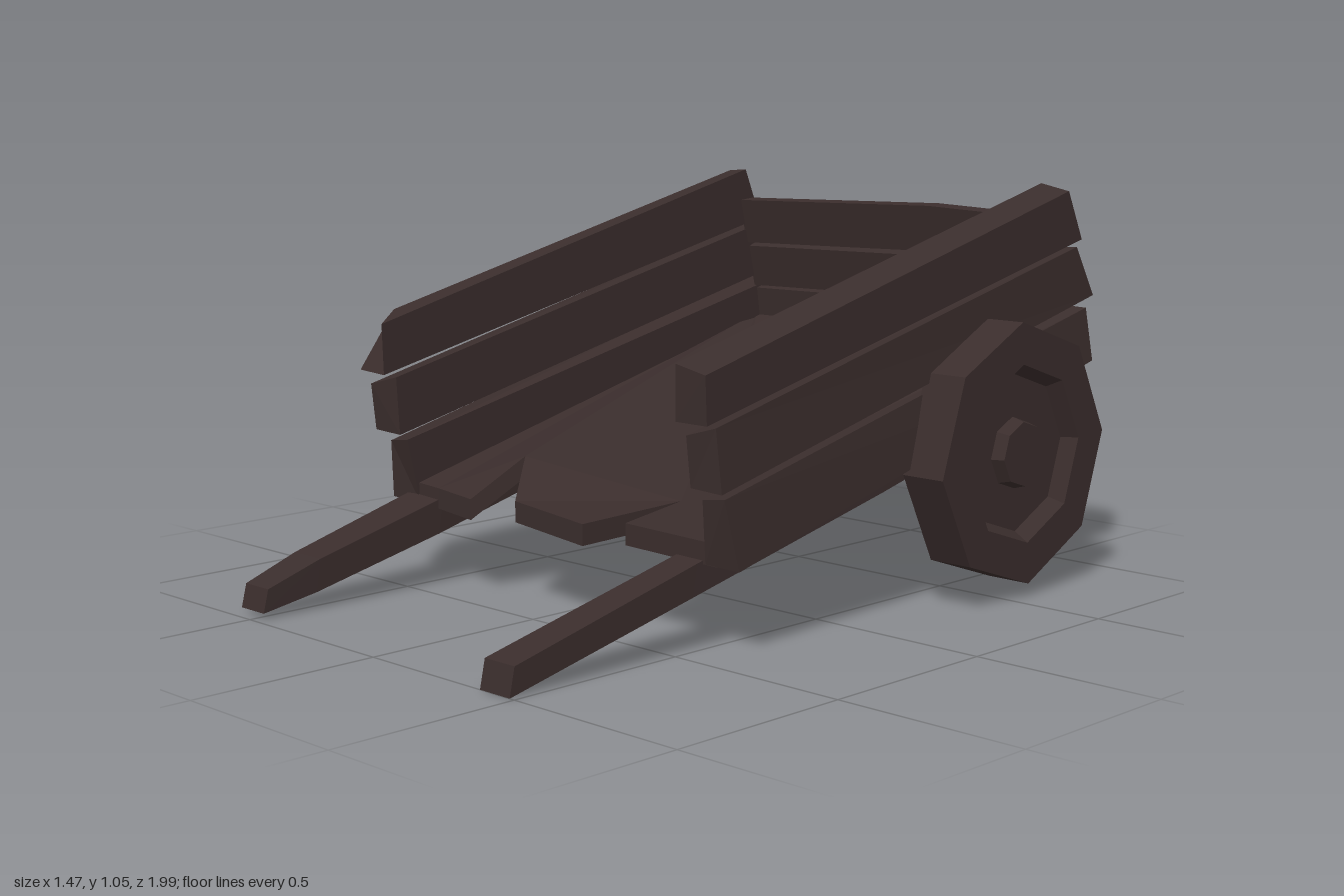
import * as THREE from 'three';

const wood = new THREE.MeshStandardMaterial({ color: 0x3a2d2c, flatShading: true });

// Solid through matching rings of [x, y, z] corners, closed at both ends.
function loft(name, rings) {
  const n = rings[0].length, tris = [];
  for (let r = 0; r < rings.length - 1; r++) {
    for (let i = 0; i < n; i++) {
      const j = (i + 1) % n, a = rings[r], b = rings[r + 1];
      tris.push([a[i], a[j], b[j]], [a[i], b[j], b[i]]);
    }
  }
  const first = rings[0], last = rings[rings.length - 1];
  for (let i = 1; i < n - 1; i++) {
    tris.push([first[0], first[i + 1], first[i]], [last[0], last[i], last[i + 1]]);
  }
  // Turn the faces outward whichever way the rings run
  let volume = 0;
  for (const [a, b, c] of tris) {
    volume += new THREE.Vector3(...a).dot(new THREE.Vector3(...b).cross(new THREE.Vector3(...c)));
  }
  if (volume < 0) tris.forEach((t) => t.reverse());
  const geo = new THREE.BufferGeometry();
  geo.setAttribute('position', new THREE.Float32BufferAttribute(tris.flat(2), 3));
  geo.computeVertexNormals();
  const mesh = new THREE.Mesh(geo, wood);
  mesh.name = name;
  return mesh;
}

// Side outline of [z, y] pairs placed at one x, or at one x per corner
const ring = (x, outline) => outline.map(([z, y], i) => [Array.isArray(x) ? x[i] : x, y, z]);

// Height of the tilted bed at z
const bedY = (z) => 0.265 + 0.256 * (0.42 - z);

// Floor with a splintered front edge; the notch corners are bent up or down
function makeFloor() {
  const edge = [
    [-0.57, 0.42], [-0.45, 0.43], [-0.295, 0.45], [-0.21, 0.335], [-0.16, 0.415],
    [0.135, 0.455], [0.175, 0.15], [0.24, 0.41], [0.56, 0.42], [0.56, -0.94], [-0.57, -0.94],
  ];
  const shape = new THREE.Shape(edge.map(([x, z]) => new THREE.Vector2(x, z)));
  const geo = new THREE.ExtrudeGeometry(shape, { depth: 0.055, bevelEnabled: false });
  geo.rotateX(Math.PI / 2);
  const p = geo.attributes.position;
  for (let i = 0; i < p.count; i++) {
    const x = p.getX(i), z = p.getZ(i);
    let bend = 0;
    if (Math.abs(x + 0.21) < 0.01) bend = 0.08;
    if (Math.abs(x - 0.175) < 0.01) bend = -0.058;
    p.setY(i, p.getY(i) + bedY(z) + bend);
  }
  geo.computeVertexNormals();
  const mesh = new THREE.Mesh(geo, wood);
  mesh.name = 'floor';
  return mesh;
}

// Eight-sided wheel with a recessed face and a raised hub
function makeWheel(name, side, turn) {
  const profile = [
    [0, 0], [0.345, 0], [0.345, 0.125], [0.235, 0.125], [0.21, 0.085],
    [0.095, 0.085], [0.085, 0.12], [0, 0.12],
  ].map(([r, h]) => new THREE.Vector2(r, h));
  const geo = new THREE.LatheGeometry(profile, 8).toNonIndexed();
  geo.rotateY(turn);
  geo.rotateZ(-side * Math.PI / 2);
  geo.computeVertexNormals();
  const wheel = new THREE.Mesh(geo, wood);
  wheel.name = name;
  wheel.position.set(side * 0.612, 0.379, -0.543);
  return wheel;
}

export function createModel() {
  const cart = new THREE.Group();
  cart.name = 'cart';
  cart.add(makeFloor());

  // Side planks: corners run front top, back top, back bottom, front bottom
  const top = [[0.535, 0.7], [-0.86, 1.055], [-0.925, 0.905], [0.53, 0.565]];
  const middle = [[0.49, 0.555], [-0.91, 0.885], [-0.985, 0.75], [0.48, 0.4]];
  const bottom = [[0.46, 0.385], [-0.975, 0.715], [-0.99, 0.57], [0.42, 0.21]];
  const topCut = [[0.43, 0.725], [-0.86, 1.05], [-0.92, 0.905], [0.53, 0.57]];
  const middleCut = [[0.5, 0.53], [-0.93, 0.88], [-0.99, 0.755], [0.485, 0.405]];
  const bottomCut = [[0.44, 0.37], [-0.96, 0.72], [-0.985, 0.575], [0.43, 0.215]];

  const right = new THREE.Group();
  right.name = 'rightSide';
  right.add(
    loft('topPlank', [ring(-0.545, top), ring([-0.625, -0.61, -0.645, -0.645], topCut)]),
    loft('middlePlank', [ring(-0.545, middle), ring([-0.64, -0.635, -0.645, -0.64], middleCut)]),
    loft('bottomPlank', [ring(-0.54, bottom), ring([-0.635, -0.635, -0.645, -0.64], bottomCut)]),
  );
  const left = new THREE.Group();
  left.name = 'leftSide';
  const lowered = top.map(([z, y], i) => [z, i < 2 ? y - 0.018 : y]);
  left.add(
    loft('topPlank', [ring([0.535, 0.54, 0.535, 0.53], top), ring(0.63, lowered)]),
    loft('middlePlank', [ring(0.535, middleCut), ring([0.62, 0.625, 0.63, 0.63], middle)]),
    loft('bottomPlank', [ring(0.53, bottomCut), ring([0.62, 0.615, 0.63, 0.63], bottom)]),
  );
  cart.add(right, left);

  // Tailboard: three planks, slightly higher off the middle
  const tailboard = new THREE.Group();
  tailboard.name = 'tailboard';
  const boards = [
    [[-0.84, 0.963], [-0.892, 0.968], [-0.925, 0.85], [-0.872, 0.833]],
    [[-0.878, 0.822], [-0.925, 0.838], [-0.96, 0.715], [-0.908, 0.7]],
    [[-0.908, 0.692], [-0.96, 0.705], [-0.985, 0.57], [-0.93, 0.55]],
  ];
  boards.forEach((b, k) => {
    const rise = 0.015 - k * 0.003;
    const lifted = b.map(([z, y]) => [z, y + rise]);
    tailboard.add(loft('tailPlank' + (k + 1), [ring(-0.55, b), ring(0.17, lifted), ring(0.54, b)]));
  });
  cart.add(tailboard);

  // Shafts run under the whole floor; stations are z, x0, x1, y0, y1
  const shaft = (name, stations) => loft(name, stations.map(([z, x0, x1, y0, y1]) =>
    [[x0, y0, z], [x1, y0, z], [x1, y1, z - 0.015], [x0, y1, z - 0.015]]));
  cart.add(
    shaft('rightShaft', [
      [0.975, -0.57, -0.475, 0.015, 0.075], [0.82, -0.575, -0.465, 0.045, 0.13],
      [0.43, -0.585, -0.45, 0.14, 0.235], [-0.2, -0.6, -0.46, 0.3, 0.38], [-0.965, -0.61, -0.48, 0.505, 0.565],
    ]),
    shaft('leftShaft', [
      [1, 0.385, 0.485, 0, 0.07], [0.45, 0.42, 0.51, 0.135, 0.215],
      [-0.2, 0.45, 0.545, 0.3, 0.38], [-0.965, 0.48, 0.58, 0.505, 0.565],
    ]),
  );

  cart.add(makeWheel('rightWheel', -1, Math.PI / 8), makeWheel('leftWheel', 1, 0.07));
  return cart;
}
